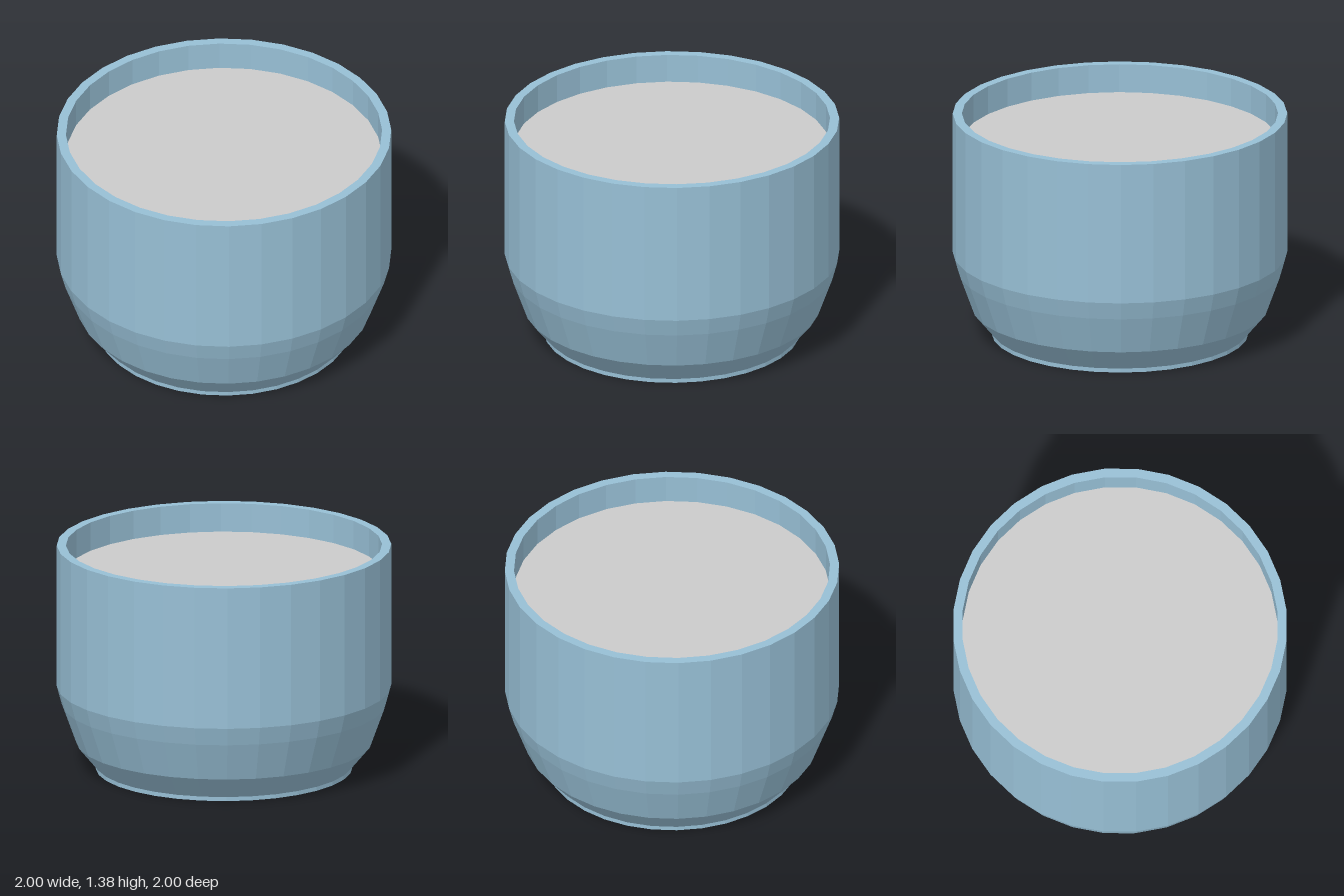
import * as THREE from 'three';

const SIDES = 32;

export function createModel() {
  const group = new THREE.Group();

  const glaze = new THREE.MeshStandardMaterial({ color: 0x97bfd5, flatShading: true });
  const grey = new THREE.MeshStandardMaterial({ color: 0xcccccc, flatShading: true });

  // Pot shell: recessed underside, foot ring, rounded belly, straight wall, rim, inner wall
  const profile = [
    [0, 0.02], [0.74, 0.02], [0.74, 0], [0.768, 0], [0.768, 0.025],
    [0.885, 0.165], [0.97, 0.4], [1, 0.51], [1, 1.38],
    [0.945, 1.38], [0.945, 1.2],
  ].map(([r, y]) => new THREE.Vector2(r, y));
  const pot = new THREE.Mesh(new THREE.LatheGeometry(profile, SIDES), glaze);
  pot.name = 'pot';
  group.add(pot);

  // Flat fill surface set a little below the rim
  const fill = new THREE.Mesh(new THREE.CircleGeometry(0.945, SIDES), grey);
  fill.name = 'soil';
  fill.rotation.x = -Math.PI / 2;
  fill.position.y = 1.205;
  group.add(fill);

  return group;
}
